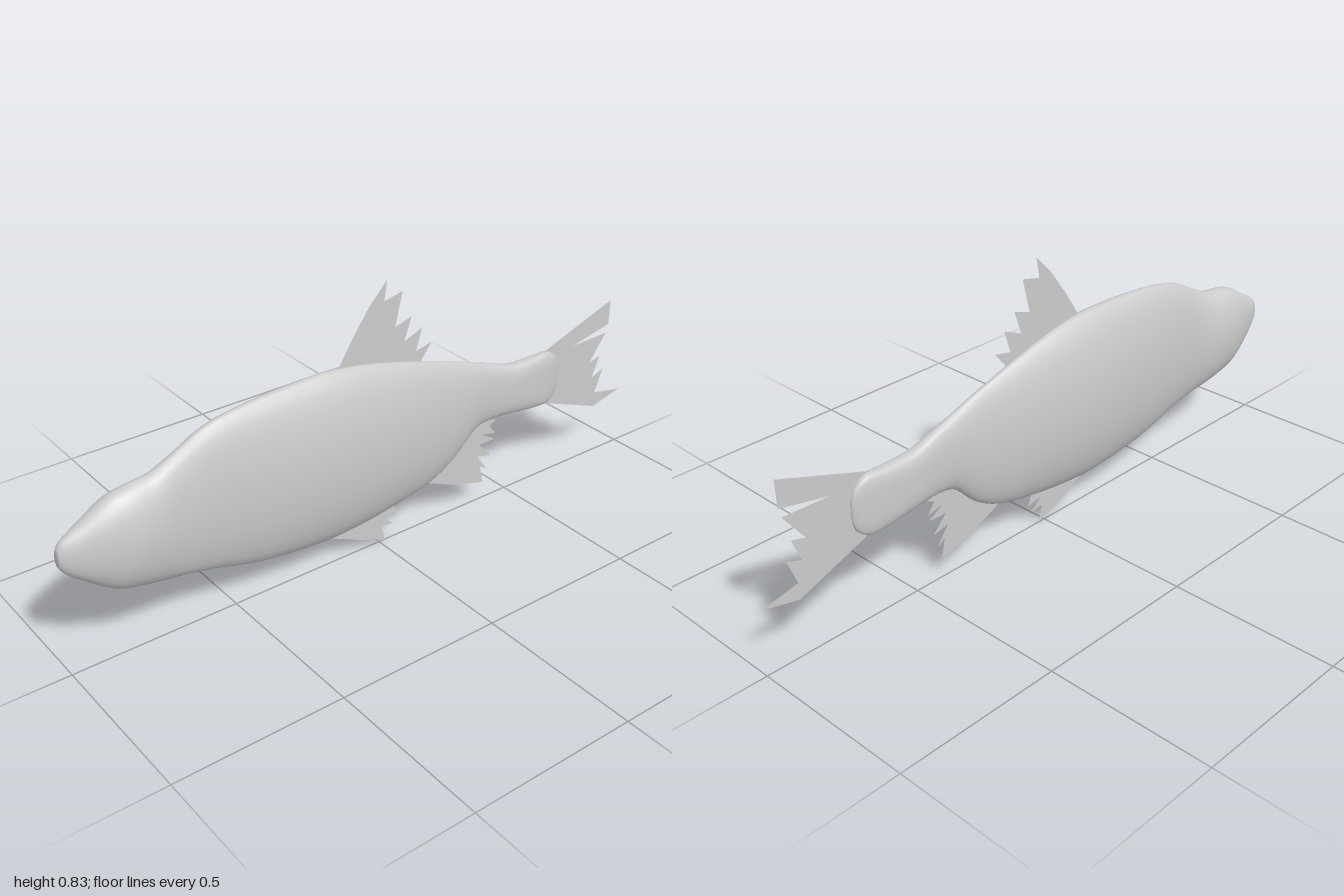
import * as THREE from 'three';

const grey = new THREE.MeshStandardMaterial({ color: 0xcccccc, side: THREE.DoubleSide });
grey.name = 'fish grey';

// Body stations from nose to tail: x, top y, bottom y, half width, roundness (1 = ellipse, less = boxier)
const STATIONS = [
  [-1.0, 0.385, 0.335, 0.012, 0.9], [-0.985, 0.405, 0.312, 0.021, 0.9],
  [-0.93, 0.437, 0.265, 0.04, 0.9], [-0.85, 0.482, 0.21, 0.061, 0.95],
  [-0.79, 0.496, 0.193, 0.067, 1], [-0.73, 0.505, 0.18, 0.06, 1],
  [-0.66, 0.537, 0.168, 0.051, 1], [-0.565, 0.584, 0.148, 0.054, 1],
  [-0.42, 0.61, 0.11, 0.065, 1.05], [-0.2, 0.62, 0.087, 0.077, 1.1],
  [-0.1, 0.613, 0.09, 0.075, 1.1], [0.03, 0.586, 0.105, 0.066, 1.1],
  [0.19, 0.54, 0.138, 0.048, 1.1], [0.28, 0.512, 0.188, 0.039, 1],
  [0.36, 0.483, 0.262, 0.032, 0.9], [0.42, 0.462, 0.274, 0.029, 0.8],
  [0.5, 0.436, 0.27, 0.03, 0.7], [0.6, 0.432, 0.258, 0.027, 0.6],
  [0.655, 0.432, 0.256, 0.021, 0.6], [0.69, 0.405, 0.28, 0.012, 0.7],
  [0.702, 0.375, 0.31, 0.004, 0.8],
];

// Smooth skin lofted through the stations, closed at both ends
function bodyGeometry() {
  const sides = 32, steps = 80;
  const column = (k) => new THREE.CatmullRomCurve3(
    STATIONS.map((s) => new THREE.Vector3(s[0], s[k], s[k + 1])), false, 'centripetal');
  const heights = column(1), widths = column(3);
  const positions = [], index = [];
  for (let i = 0; i <= steps; i++) {
    const h = heights.getPoint(i / steps), w = widths.getPoint(i / steps);
    const mid = (h.y + h.z) / 2, half = (h.y - h.z) / 2;
    for (let j = 0; j < sides; j++) {
      const a = (j / sides) * Math.PI * 2, c = Math.cos(a), s = Math.sin(a);
      const boxy = Math.min(1, w.z);
      positions.push(
        h.x,
        mid + half * Math.sign(c) * Math.abs(c) ** boxy,
        w.y * Math.sign(s) * Math.abs(s) ** w.z);
      if (i < steps) {
        const p = i * sides + j, q = i * sides + ((j + 1) % sides);
        index.push(p, q, p + sides, q, q + sides, p + sides);
      }
    }
  }
  // Nose and tail caps
  const nose = positions.length / 3, last = steps * sides;
  positions.push(-1.0, 0.36, 0, 0.704, 0.343, 0);
  for (let j = 0; j < sides; j++) {
    const k = (j + 1) % sides;
    index.push(nose, k, j, nose + 1, last + j, last + k);
  }
  const geo = new THREE.BufferGeometry();
  geo.setAttribute('position', new THREE.Float32BufferAttribute(positions, 3));
  geo.setIndex(index);
  geo.computeVertexNormals();
  return geo;
}

// Paper-thin ragged fin outlines; the roots are buried in the body
const FINS = {
  dorsalFin: [
    [-0.14, 0.6], [-0.14, 0.618], [-0.09, 0.695], [-0.035, 0.77], [0.027, 0.835], [0.016, 0.772],
    [0.08, 0.787], [0.055, 0.685], [0.113, 0.703], [0.088, 0.632], [0.152, 0.658],
    [0.13, 0.59], [0.187, 0.602], [0.15, 0.556], [0.15, 0.52]],
  tailFin: [
    [0.6, 0.42], [0.64, 0.436], [0.92, 0.532], [0.918, 0.45], [0.765, 0.418], [0.91, 0.422],
    [0.845, 0.335], [0.89, 0.347], [0.862, 0.278], [0.91, 0.295], [0.88, 0.218],
    [0.995, 0.195], [0.88, 0.168], [0.66, 0.25], [0.6, 0.28]],
  analFin: [
    [0.17, 0.16], [0.19, 0.132], [0.3, 0.085], [0.405, 0.057], [0.392, 0.118], [0.42, 0.1],
    [0.378, 0.158], [0.432, 0.145], [0.385, 0.195], [0.447, 0.197], [0.395, 0.228],
    [0.45, 0.215], [0.425, 0.25], [0.45, 0.262], [0.38, 0.29], [0.28, 0.23]],
  pelvicFin: [
    [-0.18, 0.11], [-0.18, 0.086], [-0.08, 0.04], [0.02, 0.0], [0.008, 0.052], [0.052, 0.046],
    [0.012, 0.082], [0.065, 0.07], [0.05, 0.12]],
};

export function createModel() {
  const fish = new THREE.Group();
  fish.name = 'fish';

  const body = new THREE.Mesh(bodyGeometry(), grey);
  body.name = 'body';
  fish.add(body);

  for (const [name, outline] of Object.entries(FINS)) {
    const shape = new THREE.Shape(outline.map(([x, y]) => new THREE.Vector2(x, y)));
    const fin = new THREE.Mesh(new THREE.ShapeGeometry(shape), grey);
    fin.name = name;
    fin.position.z = 0.002;
    fish.add(fin);
  }
  return fish;
}
